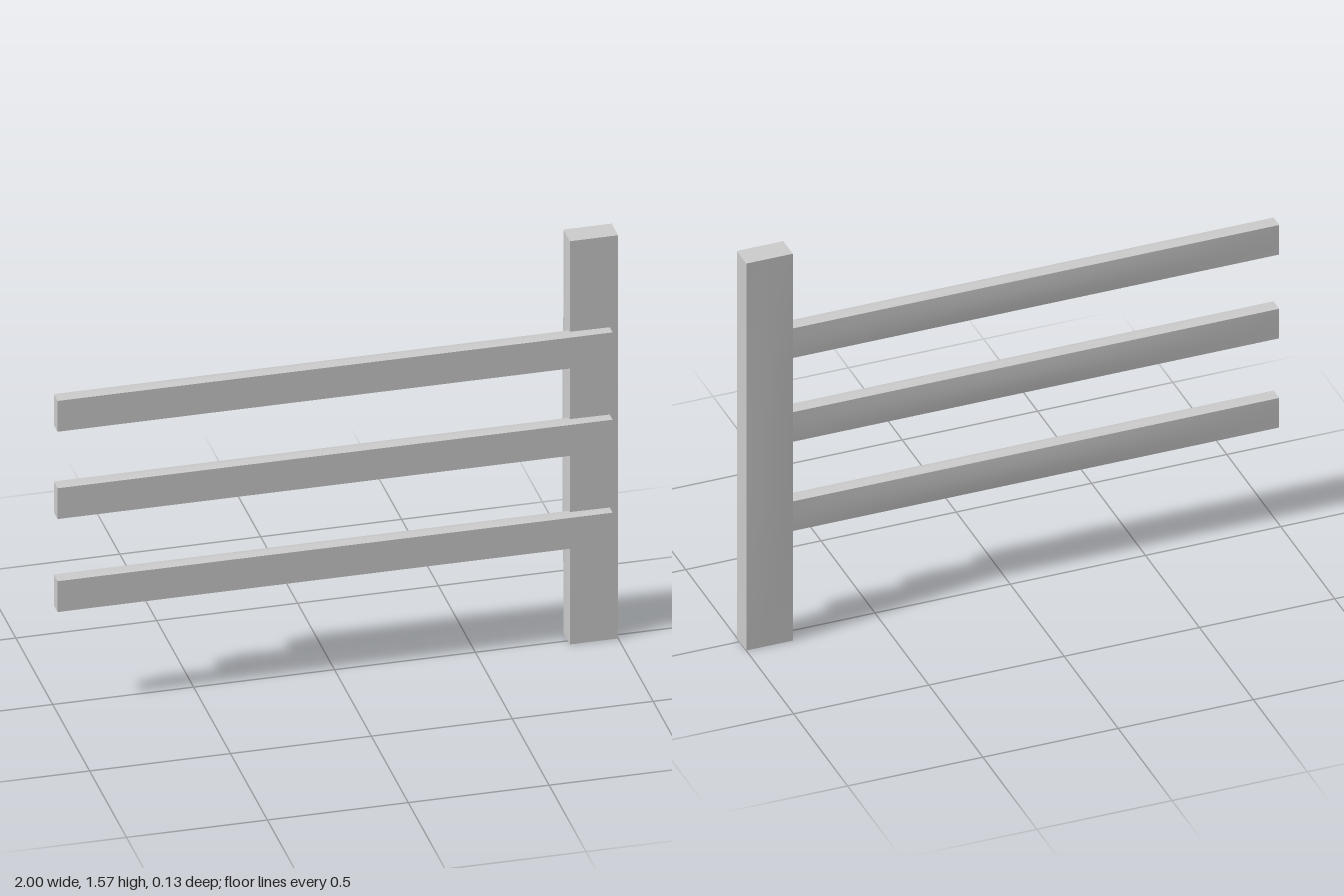
import * as THREE from 'three';

// Beam between two corners; chosen faces swell gently towards their middle.
function beam(name, min, max, swell) {
  const size = max.map((v, i) => v - min[i]);
  const long = size[0] > size[1] ? 0 : 1;
  const segments = [4, 4, 4];
  segments[long] = 12;
  const geometry = new THREE.BoxGeometry(...size, ...segments);
  const pos = geometry.attributes.position;
  for (let i = 0; i < pos.count; i++) {
    const p = [pos.getX(i), pos.getY(i), pos.getZ(i)];
    const u = p.map((v, k) => (2 * v) / size[k]);
    const dome = u.map((v) => Math.max(0, 1 - v * v));
    for (const { axis, sign, amount } of swell) {
      if (u[axis] * sign < 0.999) continue;
      const [a, b] = [0, 1, 2].filter((k) => k !== axis);
      p[axis] += sign * amount * dome[a] * dome[b];
    }
    pos.setXYZ(i, ...p);
  }
  geometry.computeVertexNormals();
  const mesh = new THREE.Mesh(geometry, new THREE.MeshStandardMaterial({ color: 0xcccccc }));
  mesh.position.set(...min.map((v, i) => (v + max[i]) / 2));
  mesh.name = name;
  return mesh;
}

export function createModel() {
  const group = new THREE.Group();
  group.name = 'fenceSection';

  // Upright post, slightly bowed on its inner side and back
  group.add(beam('post', [0.828, 0, -0.061], [1, 1.57, 0.027], [
    { axis: 0, sign: -1, amount: 0.012 },
    { axis: 2, sign: -1, amount: 0.003 },
  ]));

  // Three rails let into the front of the post
  const rails = [['lowerRail', 0.394], ['middleRail', 0.756], ['upperRail', 1.096]];
  for (const [name, y] of rails) {
    group.add(beam(name, [-1, y, 0.014], [0.97, y + 0.12, 0.066], [
      { axis: 1, sign: 1, amount: 0.007 },
      { axis: 2, sign: -1, amount: 0.004 },
    ]));
  }
  return group;
}
